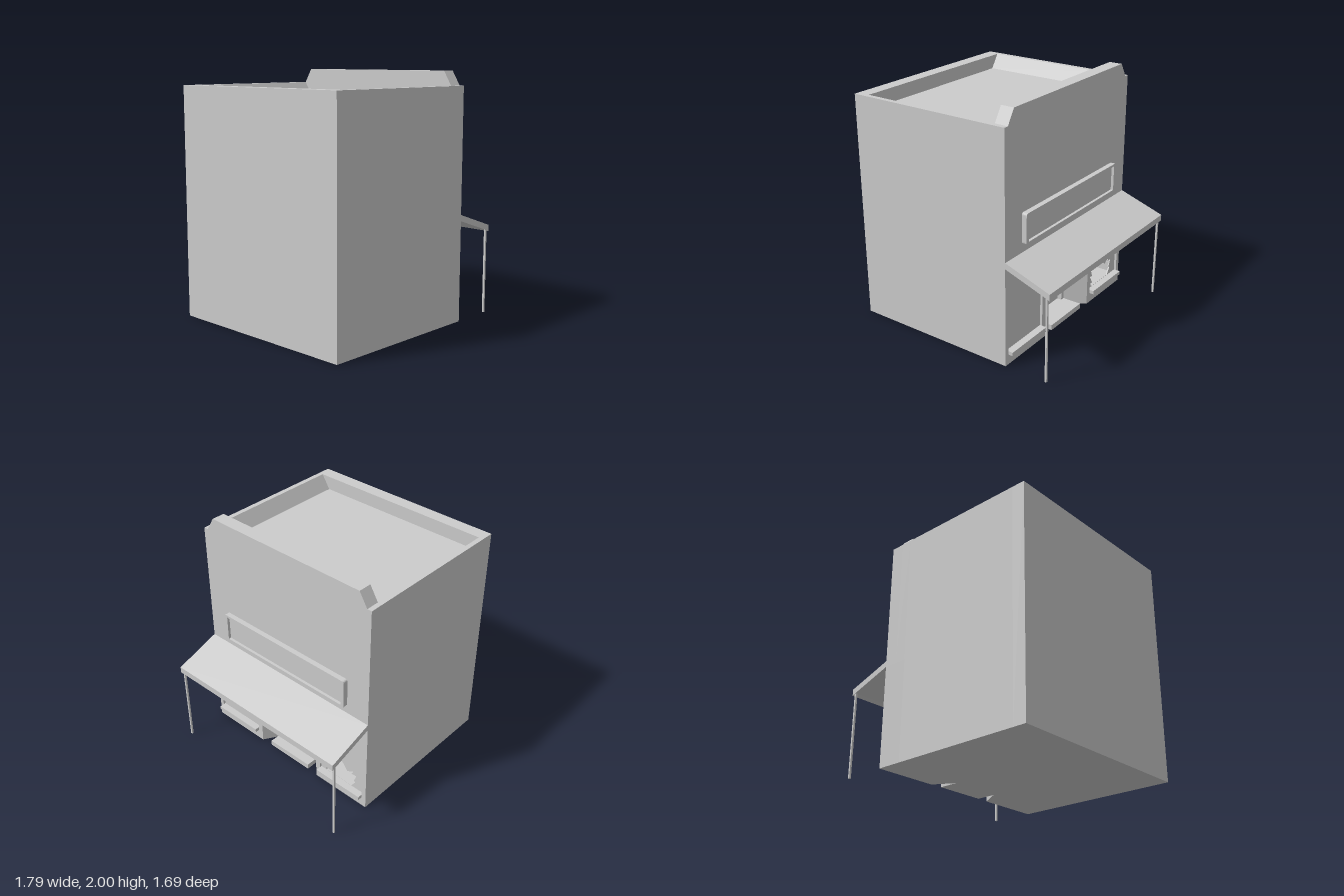
import * as THREE from 'three';

const grey = new THREE.MeshStandardMaterial({ color: 0xcccccc, flatShading: true, side: THREE.DoubleSide });

export function createModel() {
  const model = new THREE.Group();
  model.name = 'shopBuilding';

  const add = (name, geometry) => {
    const mesh = new THREE.Mesh(geometry, grey);
    mesh.name = name;
    model.add(mesh);
    return mesh;
  };
  const box = (name, x0, x1, y0, y1, z0, z1) =>
    add(name, new THREE.BoxGeometry(x1 - x0, y1 - y0, z1 - z0))
      .position.set((x0 + x1) / 2, (y0 + y1) / 2, (z0 + z1) / 2);
  const poly = (pts) => new THREE.Shape(pts.map(([a, b]) => new THREE.Vector2(a, b)));
  const rect = (u0, u1, y0, y1) => poly([[u0, y0], [u1, y0], [u1, y1], [u0, y1]]);

  // Outline drawn facing the shopfront (u = -z, y up), pushed from x0 to x1
  const slab = (name, shape, x0, x1) => {
    const g = new THREE.ExtrudeGeometry(shape, { depth: x1 - x0, bevelEnabled: false, curveSegments: 4 });
    g.rotateY(Math.PI / 2).translate(x0, 0, 0);
    return add(name, g);
  };

  const W = 0.845, H = 1.885, FRONT = 0.51, BACK = -0.9;
  const DOOR = 0.34, CORE = 0.30, HEAD = 0.82, ROOF = 1.77;

  // Main block: rear parapet, then a core with sloping side parapets round the roof
  const trough = (y0) => poly([
    [-W, y0], [W, y0], [W, H], [0.805, H], [0.73, ROOF], [-0.73, ROOF], [-0.805, H], [-W, H],
  ]);
  slab('rearWall', rect(-W, W, 0, H), BACK, -0.79);
  slab('mainBlock', trough(0), -0.79, CORE);
  slab('upperBlock', trough(HEAD), CORE, 0.40);

  // Tall front wall with clipped top corners
  slab('falseFront', poly([
    [-W, HEAD], [W, HEAD], [W, H], [0.805, H], [0.735, 2], [-0.735, 2], [-0.805, H], [-W, H],
  ]), 0.40, FRONT);

  // Recessed doorway with splayed sides
  const doorWall = rect(-0.34, 0.34, 0, HEAD);
  doorWall.holes.push(rect(-0.18, 0.18, 0.045, 0.66));
  slab('doorSurround', doorWall, CORE, DOOR);
  box('doorStep', DOOR, FRONT - 0.005, 0, 0.045, -0.215, 0.215);

  // Window wings
  for (const s of [-1, 1]) {
    const pier = poly([[FRONT, s * 0.315], [FRONT, s * 0.34], [DOOR, s * 0.34], [DOOR, s * 0.215]]);
    const pierGeo = new THREE.ExtrudeGeometry(pier, { depth: HEAD, bevelEnabled: false });
    // plan (x, z) stood upright
    pierGeo.rotateX(-Math.PI / 2);
    add('doorwayPier', pierGeo);

    const [a, b] = [s * 0.34, s * W];
    const wall = rect(Math.min(a, b), Math.max(a, b), 0, HEAD);
    const [w0, w1] = s > 0 ? [0.355, 0.805] : [-0.81, -0.36];
    wall.holes.push(rect(w0, w1, 0.085, 0.63));
    slab('windowWall', wall, CORE, FRONT);

    const pane = rect(w0, w1, 0.085, 0.63);
    if (s > 0) {
      // jagged break in one pane
      pane.holes.push(poly([
        [0.415, 0.117], [0.40, 0.15], [0.43, 0.15], [0.39, 0.215], [0.425, 0.215], [0.405, 0.27],
        [0.49, 0.265], [0.49, 0.375], [0.525, 0.315], [0.55, 0.355], [0.635, 0.245], [0.70, 0.28],
        [0.68, 0.245], [0.73, 0.25], [0.705, 0.185], [0.72, 0.175], [0.68, 0.117],
      ]));
    }
    slab('windowPane', pane, 0.48, 0.49);
    box('windowSill', 0.48, 0.55, 0.085, 0.115, -w1, -w0);

    // Canopy post
    box('canopyPost', 0.86, 0.875, 0, 0.72, s * 0.833 - 0.008, s * 0.833 + 0.008);
  }

  // Sloping canopy across the whole front
  const canopy = new THREE.ExtrudeGeometry(
    poly([[FRONT, 0.82], [0.86, 0.7], [0.895, 0.685], [0.895, 0.738], [FRONT, 0.87]]),
    { depth: 2 * W, bevelEnabled: false });
  add('canopy', canopy.translate(0, 0, -W));

  // Sign board: rounded frame round a sunk panel
  const r = 0.02, u = 0.64, y0 = 0.94, y1 = 1.19;
  const frame = new THREE.Shape();
  frame.moveTo(-u + r, y0).lineTo(u - r, y0).quadraticCurveTo(u, y0, u, y0 + r)
    .lineTo(u, y1 - r).quadraticCurveTo(u, y1, u - r, y1)
    .lineTo(-u + r, y1).quadraticCurveTo(-u, y1, -u, y1 - r)
    .lineTo(-u, y0 + r).quadraticCurveTo(-u, y0, -u + r, y0);
  frame.holes.push(rect(-0.61, 0.61, 0.96, 1.17));
  slab('signFrame', frame, FRONT, 0.553);
  box('signPanel', FRONT, 0.53, 0.96, 1.17, -0.61, 0.61);

  return model;
}
